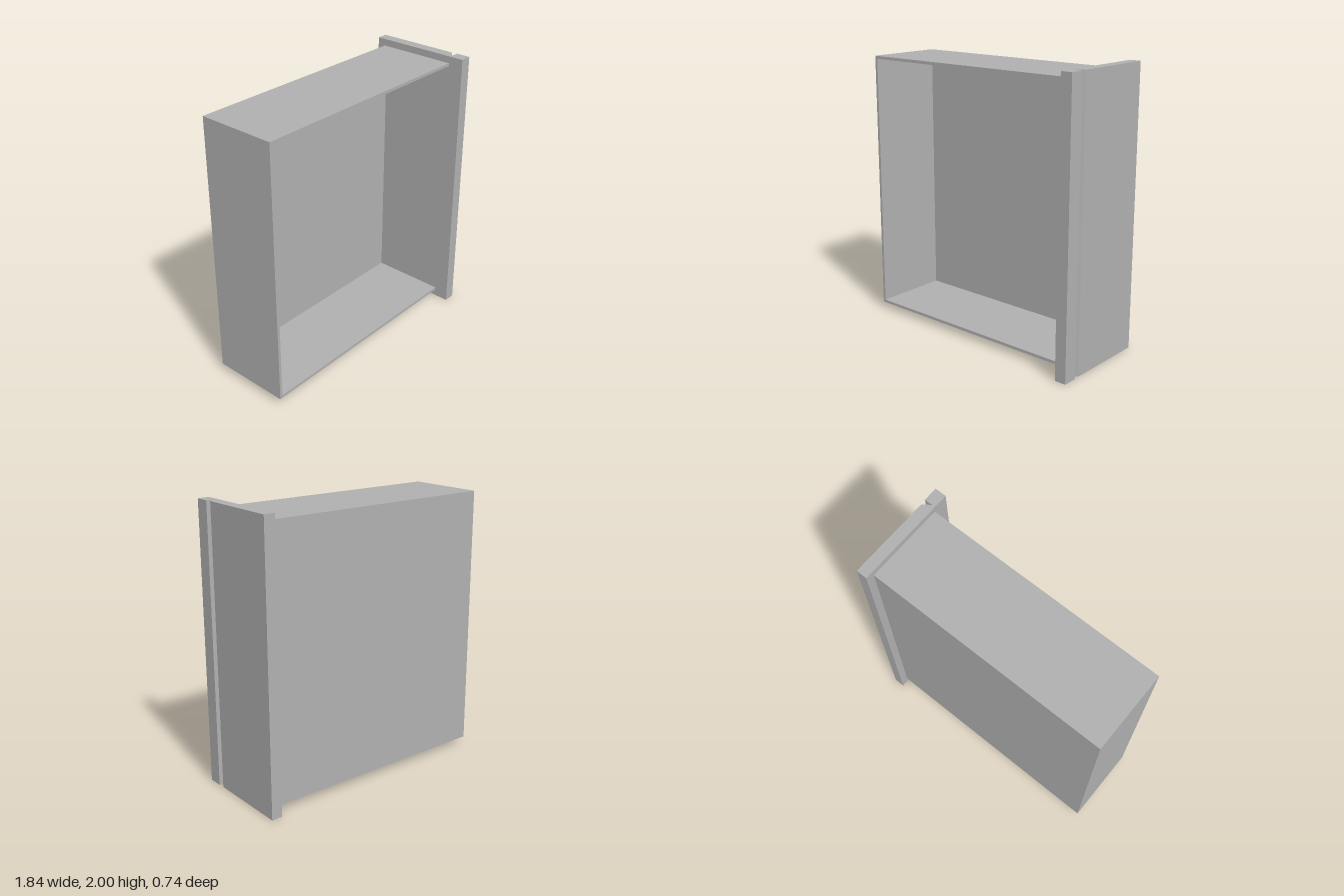
import * as THREE from 'three';

export function createModel() {
  const model = new THREE.Group();
  model.name = 'drawer';
  const grey = new THREE.MeshStandardMaterial({ color: 0xb0b0b0 });
  grey.name = 'plain grey';

  // A board given by its limits on each axis
  function board(name, [x0, x1], [y0, y1], [z0, z1]) {
    const mesh = new THREE.Mesh(new THREE.BoxGeometry(x1 - x0, y1 - y0, z1 - z0), grey);
    mesh.position.set((x0 + x1) / 2, (y0 + y1) / 2, (z0 + z1) / 2);
    mesh.name = name;
    model.add(mesh);
  }

  // Drawer box, open towards +z
  const back = -0.315, rim = 0.261, end = -0.921, face = 0.835;
  board('upperSide', [end, face], [1.929, 1.95], [back, rim]);
  board('lowerSide', [end, face], [0.05, 0.071], [back, rim]);
  board('endWall', [end, -0.9], [0.071, 1.929], [back, rim]);
  board('bottomPanel', [-0.9, face], [0.071, 1.929], [back, back + 0.02]);

  // Face panel: a (x, z) section with a finger-pull groove, extruded upwards
  const section = [
    [face, -0.373], [0.914, -0.373], [0.914, 0.225], [0.86, 0.267],
    [0.918, 0.267], [0.918, 0.371], [face, 0.371],
  ];
  const shape = new THREE.Shape(section.map(([x, z]) => new THREE.Vector2(x, -z)));
  const geometry = new THREE.ExtrudeGeometry(shape, { depth: 2, bevelEnabled: false });
  geometry.rotateX(-Math.PI / 2);
  const panel = new THREE.Mesh(geometry, grey);
  panel.name = 'facePanel';
  model.add(panel);

  return model;
}
